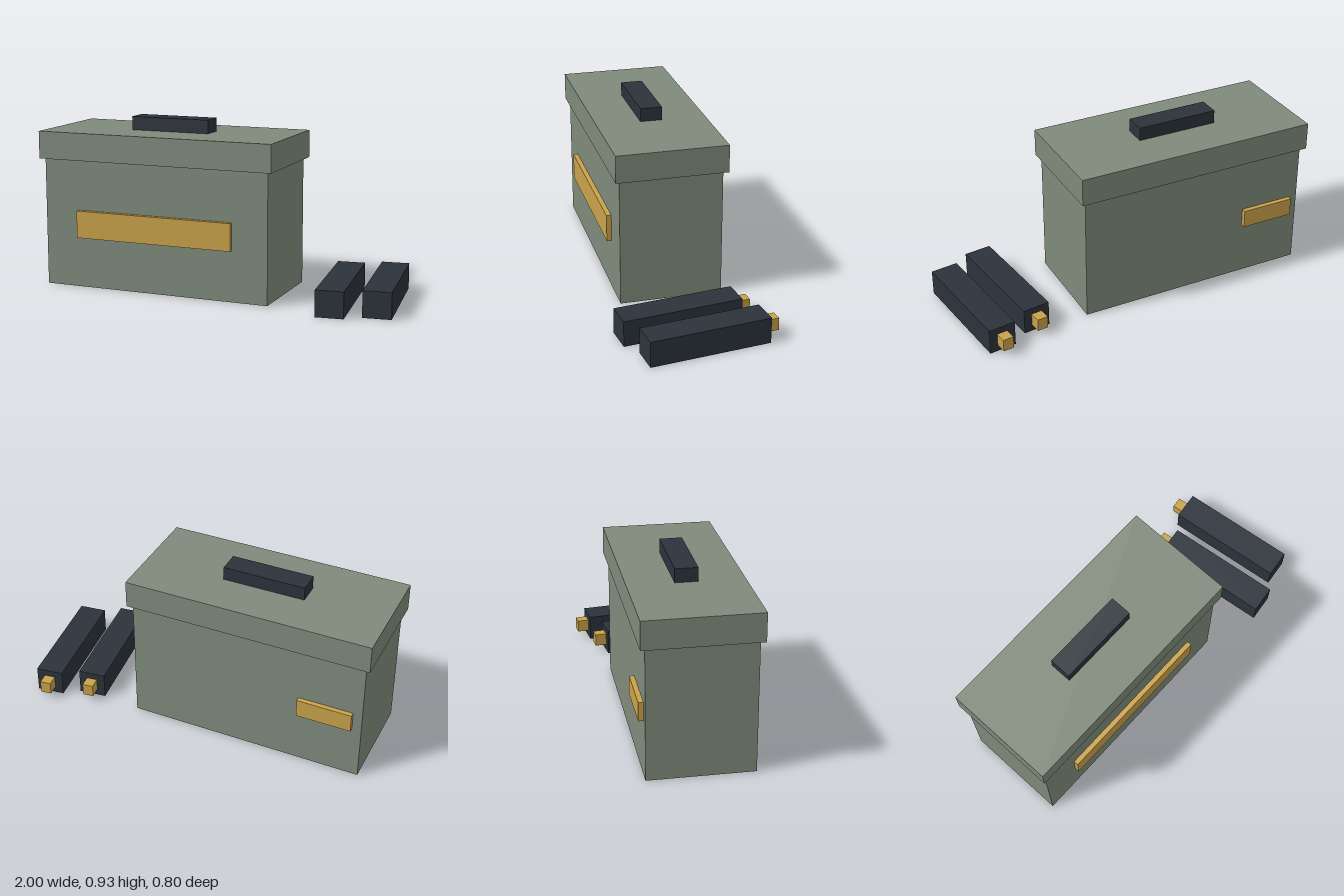
import * as THREE from 'three';

export function createModel() {
  const mat = (name, color) => {
    const m = new THREE.MeshStandardMaterial({ color });
    m.name = name;
    return m;
  };
  const green = mat('olive green', 0x7e8a7b);
  const dark = mat('dark steel', 0x2b333b);
  const brass = mat('brass', 0xc9a24a);

  const model = new THREE.Group();
  model.name = 'ammoCan';

  // Box given by its lower and upper corners
  const box = (parent, name, material, [x0, y0, z0], [x1, y1, z1]) => {
    const mesh = new THREE.Mesh(new THREE.BoxGeometry(x1 - x0, y1 - y0, z1 - z0), material);
    mesh.position.set((x0 + x1) / 2, (y0 + y1) / 2, (z0 + z1) / 2);
    mesh.name = name;
    parent.add(mesh);
  };

  // Can with overhanging lid and carry handle
  box(model, 'canBody', green, [-0.975, 0, -0.26], [0.33, 0.706, 0.297]);
  box(model, 'lid', green, [-1, 0.706, -0.285], [0.355, 0.857, 0.32]);
  box(model, 'handle', dark, [-0.55, 0.857, -0.042], [-0.097, 0.931, 0.078]);

  // Raised plates on the front and back
  box(model, 'frontPlate', brass, [-0.775, 0.279, 0.297], [0.13, 0.429, 0.323]);
  box(model, 'backPlate', brass, [-0.925, 0.302, -0.286], [-0.625, 0.403, -0.26]);

  // Two magazines lying beside the can, each with a round showing at its end
  [[0.659, 0.07], [0.886, -0.01]].forEach(([x, z], i) => {
    const magazine = new THREE.Group();
    magazine.name = `magazine${i + 1}`;
    box(magazine, 'magazineBody', dark, [-0.075, 0, -0.325], [0.075, 0.142, 0.325]);
    box(magazine, 'round', brass, [-0.03, 0.037, -0.389], [0.03, 0.106, -0.31]);
    magazine.position.set(x, 0, z);
    magazine.rotation.y = 0.122;
    model.add(magazine);
  });

  return model;
}
